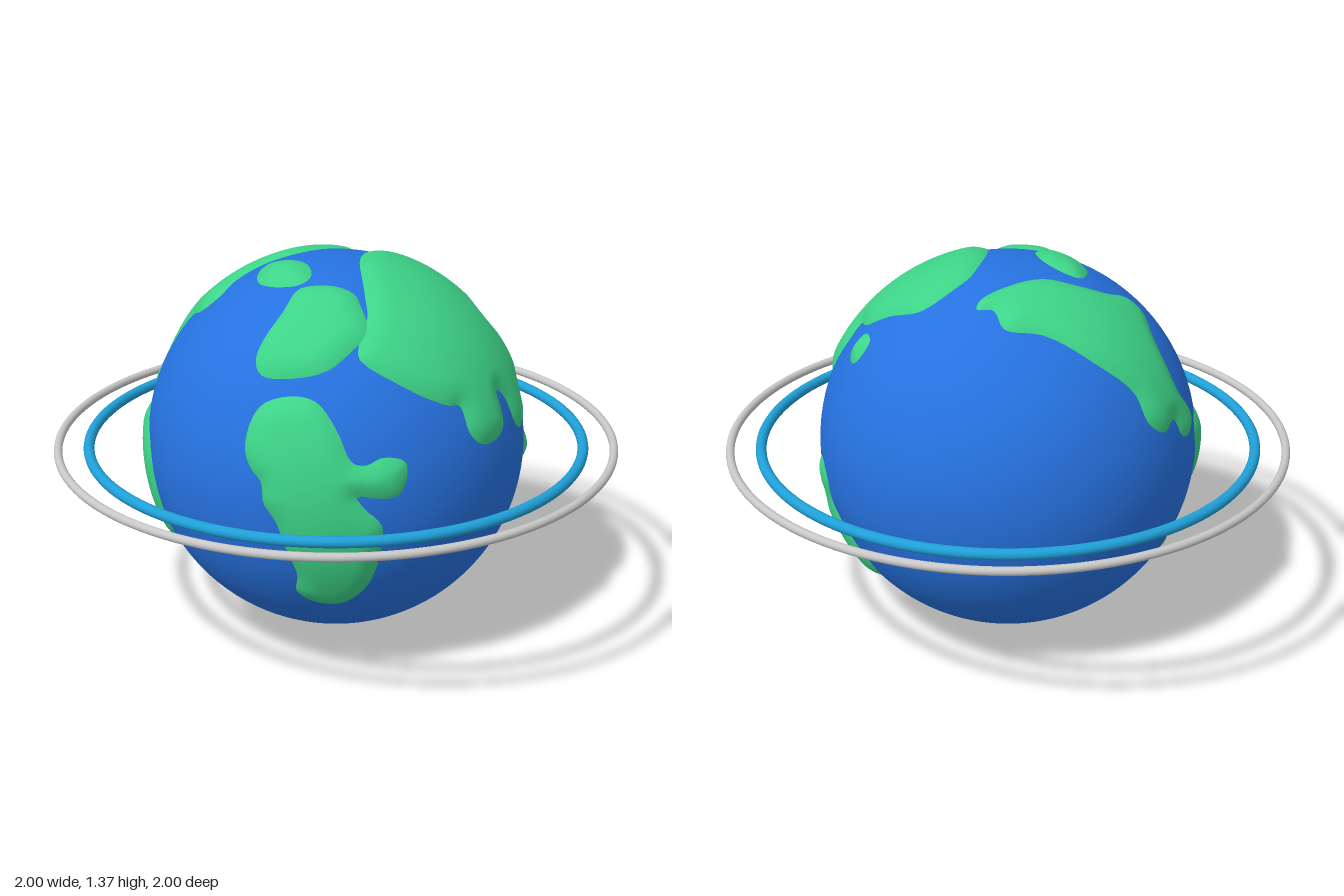
import * as THREE from 'three';

const R = 0.668, CENTRE_Y = 0.7;
const V = (x, y, z) => new THREE.Vector3(x, y, z);

// Directions from which coast points are plotted: [outward axis, right axis]
const S = Math.SQRT1_2;
const SIDES = {
  front: [V(0, 0, 1), V(1, 0, 0)],
  left: [V(1, 0, 0), V(0, 0, -1)],
  top: [V(0, 1, 0), V(1, 0, 0)],
  bottom: [V(0, -1, 0), V(1, 0, 0)],
  rear: [V(-0.645, 0.41, -0.645), V(-S, 0, S)],
};

// Coastlines: flat u,v pairs in hundredths, projected onto the globe from a side
const LANDS = {
  southernContinent: [['front', [-3, 20, 0, 32, 9, 36, 18, 35, 26, 27, 32, 17, 36, 16, 40, 18, 46, 16, 47, 11, 45, 5,
    39, 5, 34, 6, 36, 2, 41, -5, 40, -15, 36, -27, 30, -35, 24, -39, 16, -38, 12, -33, 14, -25, 12, -15,
    9, -4, 5, 2, 4, 9, 0, 13]]],
  northernPeninsula: [['top', [-6, -49, -3, -35, -2, -25, 3, -22, 11, -20, 17, -21, 20, -24, 24, -28, 27, -32,
    25, -37, 19, -47, 9, -52, -2, -53]]],
  easternContinent: [
    ['top', [6, 10, 5, 18, 10, 30, 15, 34, 27, 33, 38, 31]],
    ['left', [26, 43, 29, 38, 30, 30, 28, 24, 21, 21, 18, 13, 13, 10, 6, 14, 2, 25, -2, 28, -4, 17, -11, 14,
      -19, 15, -23, 20, -23, 29, -27, 30, -35, 36, -40, 46]],
    ['top', [25, -35, 24, -27, 20, -20, 13, -8, 9, 0]]],
  westernContinent: [
    ['top', [-6, 30, -5, 26, -10, 16, -17, 5, -26, -2, -33, -11, -35, -20, -41, -22, -50, -14]],
    ['rear', [51, 11, 57, 3, 56, -4, 51, -5, 47, 1, 42, -3, 35, 1, 31, 11, 18, 22, 2, 33, -10, 36, -12, 43]]],
  southWesternContinent: [
    ['front', [-58, 14, -52, 4, -49, -7, -46, -18, -44, -28, -45, -39, -46, -45]],
    ['rear', [49, -44, 55, -37, 60, -29, 62, -16, 60, -3, 63, 8]]],
  arcticIsland: [['top', [-24, -8, -19, -5, -12, -6, -5, -11, -1, -18, -2, -22, -5, -24, -13, -24, -20, -20]]],
  southEasternContinent: [['left', [44, -2, 48, -1, 51, -7, 50, -15, 53, -23, 52, -33, 48, -40, 41, -44, 33, -43,
    30, -37, 34, -28, 38, -19, 45, -14, 44, -7]]],
  tropicalIsland: [['left', [22, -2, 25, 2, 29, 3, 32, -1, 31, -6, 25, -7]]],
  easternIsland: [['left', [35, 44, 40, 44, 44, 38, 43, 36, 38, 38]]],
  polarContinent: [['bottom', [18, 0, 15, 11, 2, 18, -12, 15, -20, 2, -14, -13, 0, -18, 13, -13]]],
};

// Project the plotted points to unit directions
function coastDirections(runs) {
  const out = [];
  for (const [side, uv] of runs) {
    const [axis, right] = SIDES[side];
    const up = axis.clone().cross(right);
    for (let i = 0; i < uv.length; i += 2) {
      const u = uv[i] / 100, v = uv[i + 1] / 100;
      const w = Math.sqrt(Math.max(0, R * R - u * u - v * v));
      out.push(V(0, 0, 0).addScaledVector(right, u).addScaledVector(up, v).addScaledVector(axis, w).normalize());
    }
  }
  return out;
}

// Distance to the coast, positive inland
function signedDistance(x, y, poly) {
  let best = Infinity, inside = false;
  for (let i = 0, j = poly.length - 1; i < poly.length; j = i++) {
    const a = poly[j], b = poly[i], dx = b.x - a.x, dy = b.y - a.y;
    const t = THREE.MathUtils.clamp(((x - a.x) * dx + (y - a.y) * dy) / (dx * dx + dy * dy || 1), 0, 1);
    best = Math.min(best, Math.hypot(x - a.x - t * dx, y - a.y - t * dy));
    if ((a.y > y) !== (b.y > y) && x < a.x + (y - a.y) * dx / dy) inside = !inside;
  }
  return inside ? best : -best;
}

// A softly domed patch that rises out of the ocean along its coastline
function landGeometry(runs, height) {
  const dirs = coastDirections(runs);
  const c = dirs.reduce((s, d) => s.add(d), V(0, 0, 0)).normalize();
  const e1 = V(0.3, 0.2, 0.9).cross(c).normalize(), e2 = c.clone().cross(e1);
  // Unroll the coast around its centre, keeping distances from the centre true
  const flat = dirs.map((d) => {
    const x = d.dot(e1), y = d.dot(e2), k = R * d.angleTo(c) / (Math.hypot(x, y) || 1);
    return V(x * k, y * k, 0);
  });
  const poly = new THREE.CatmullRomCurve3(flat, true, 'centripetal').getPoints(flat.length * 4).slice(0, -1);
  const box = new THREE.Box3().setFromPoints(poly).expandByScalar(0.03);
  const step = 0.011, slope = 0.08;
  const nx = Math.ceil((box.max.x - box.min.x) / step), ny = Math.ceil((box.max.y - box.min.y) / step);
  const pos = [], dist = [], index = [];
  for (let j = 0; j <= ny; j++) {
    for (let i = 0; i <= nx; i++) {
      const x = box.min.x + i * step, y = box.min.y + j * step, r = Math.hypot(x, y);
      const d = signedDistance(x, y, poly);
      const t = Math.min(d / slope, 1);
      const h = height * (t > 0 ? 1 - (1 - t) ** 2 : 2 * Math.max(t, -0.5));
      const k = r > 1e-6 ? Math.sin(r / R) / r : 1 / R;
      const p = c.clone().multiplyScalar(Math.cos(r / R)).addScaledVector(e1, x * k).addScaledVector(e2, y * k);
      pos.push(...p.multiplyScalar(R + h).toArray());
      dist.push(d);
    }
  }
  const w = nx + 1;
  for (let j = 0; j < ny; j++) {
    for (let i = 0; i < nx; i++) {
      const a = j * w + i, b = a + 1, d = a + w, e = d + 1;
      if (Math.max(dist[a], dist[b], dist[d], dist[e]) > -0.012) index.push(a, b, e, a, e, d);
    }
  }
  const g = new THREE.BufferGeometry();
  g.setAttribute('position', new THREE.Float32BufferAttribute(pos, 3));
  g.setIndex(index);
  g.computeVertexNormals();
  return g;
}

export function createModel() {
  const mat = (name, color) => Object.assign(new THREE.MeshStandardMaterial({ color }), { name });
  const ocean = mat('oceanBlue', 0x2672e0), land = mat('landGreen', 0x3dd488);
  const silver = mat('silver', 0xc8c8c8), cyan = mat('cyanBlue', 0x1fa0d8);

  const model = new THREE.Group();
  model.name = 'ringedGlobe';
  const add = (name, geometry, material) => {
    const mesh = new THREE.Mesh(geometry, material);
    mesh.name = name;
    mesh.position.y = CENTRE_Y;
    model.add(mesh);
    return mesh;
  };

  // Globe
  add('ocean', new THREE.SphereGeometry(R, 128, 80), ocean);
  for (const [name, runs] of Object.entries(LANDS)) {
    add(name, landGeometry(runs, name === 'polarContinent' ? 0.032 : 0.02), land);
  }

  // Two level rings around the equator
  add('innerRing', new THREE.TorusGeometry(0.877, 0.019, 16, 128).rotateX(Math.PI / 2), cyan);
  add('outerRing', new THREE.TorusGeometry(0.985, 0.015, 16, 128).rotateX(Math.PI / 2), silver);
  return model;
}
